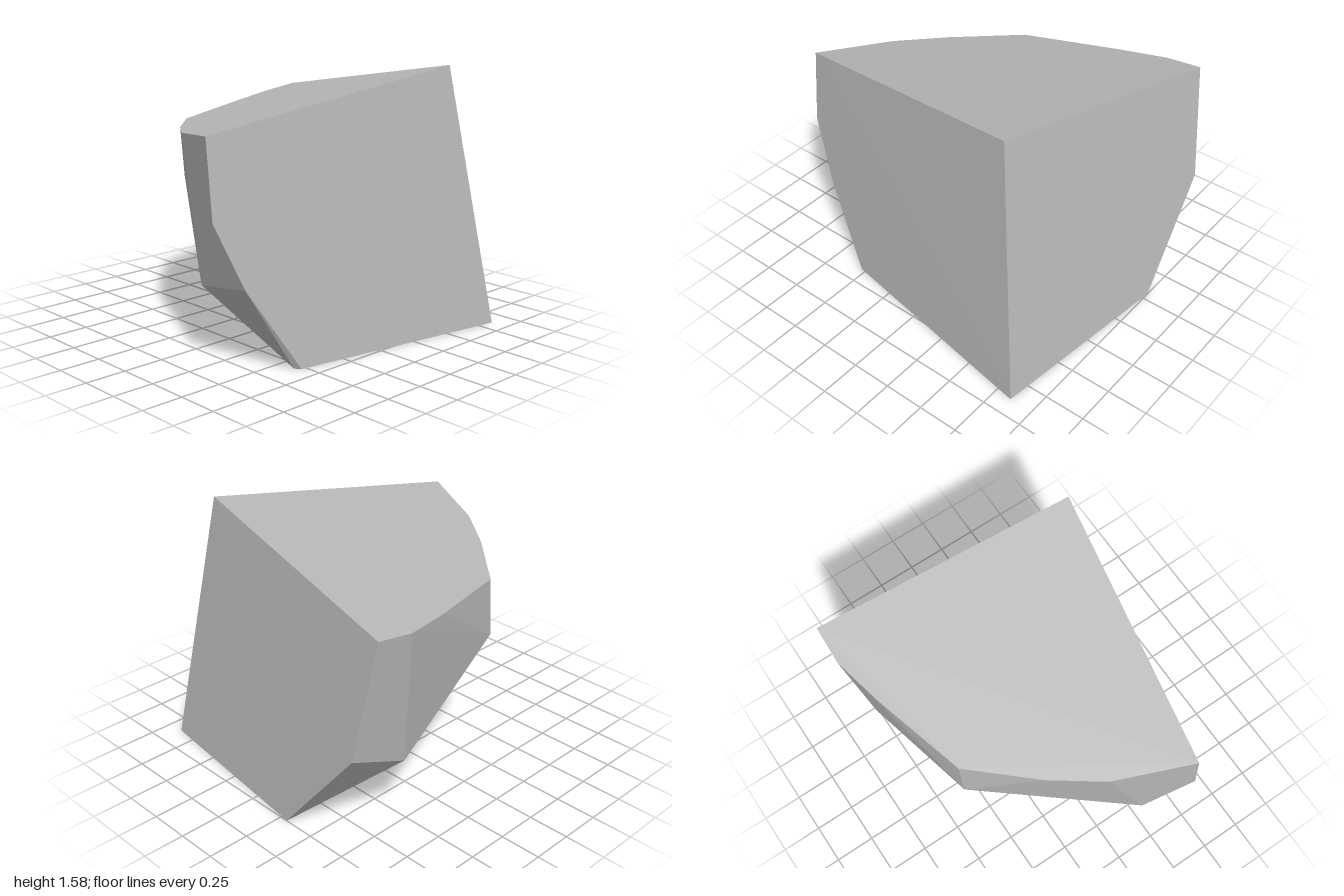
import * as THREE from 'three';
import { ConvexGeometry } from 'three/addons/geometries/ConvexGeometry.js';

const v = (x, y, z) => new THREE.Vector3(x, y, z);

// The three flat cut planes that meet at the upper front corner
const onTop = ([x, z]) => v(x, 1.369 + 0.129 * x + 0.191 * z, z);
const onFront = ([x, y]) => v(x, y, 0.738 + 0.178 * x - 0.1076 * y);
const onSide = ([y, z]) => v(0.963 - 0.122 * z - 0.158 * y, y, z);
const onBase = ([x, z]) => v(x, 0, z);

export function createModel() {
  const group = new THREE.Group();
  group.name = 'rockChunk';
  const stone = new THREE.MeshStandardMaterial({ color: 0xb8b8b8 });
  stone.name = 'grey stone';

  const points = [
    // sloping top with its curved rear rim
    ...[[0.63, 0.68], [-1, 0.42], [-0.8, -0.03], [-0.59, -0.31], [-0.26, -0.665],
      [0.32, -0.83], [0.63, -0.9], [0.86, -0.89]].map(onTop),
    // lower outline of the front cut
    ...[[-1, 0.87], [-0.84, 0.49], [-0.53, 0]].map(onFront),
    // lower outline of the side cut
    ...[[0.61, -0.8], [0, -0.3], [0, 0.89]].map(onSide),
    // base with a softened rear corner
    ...[[0.1, -0.185], [0.04, -0.16], [-0.01, -0.12], [-0.05, -0.07], [-0.555, 0.61]].map(onBase),
    // facet corners of the rough rear
    v(-0.285, 0.85, -0.665), v(0.57, 0.44, -0.8), v(-0.88, 0.46, 0.22),
  ];

  const rock = new THREE.Mesh(new ConvexGeometry(points), stone);
  rock.name = 'facetedRock';
  group.add(rock);
  return group;
}
